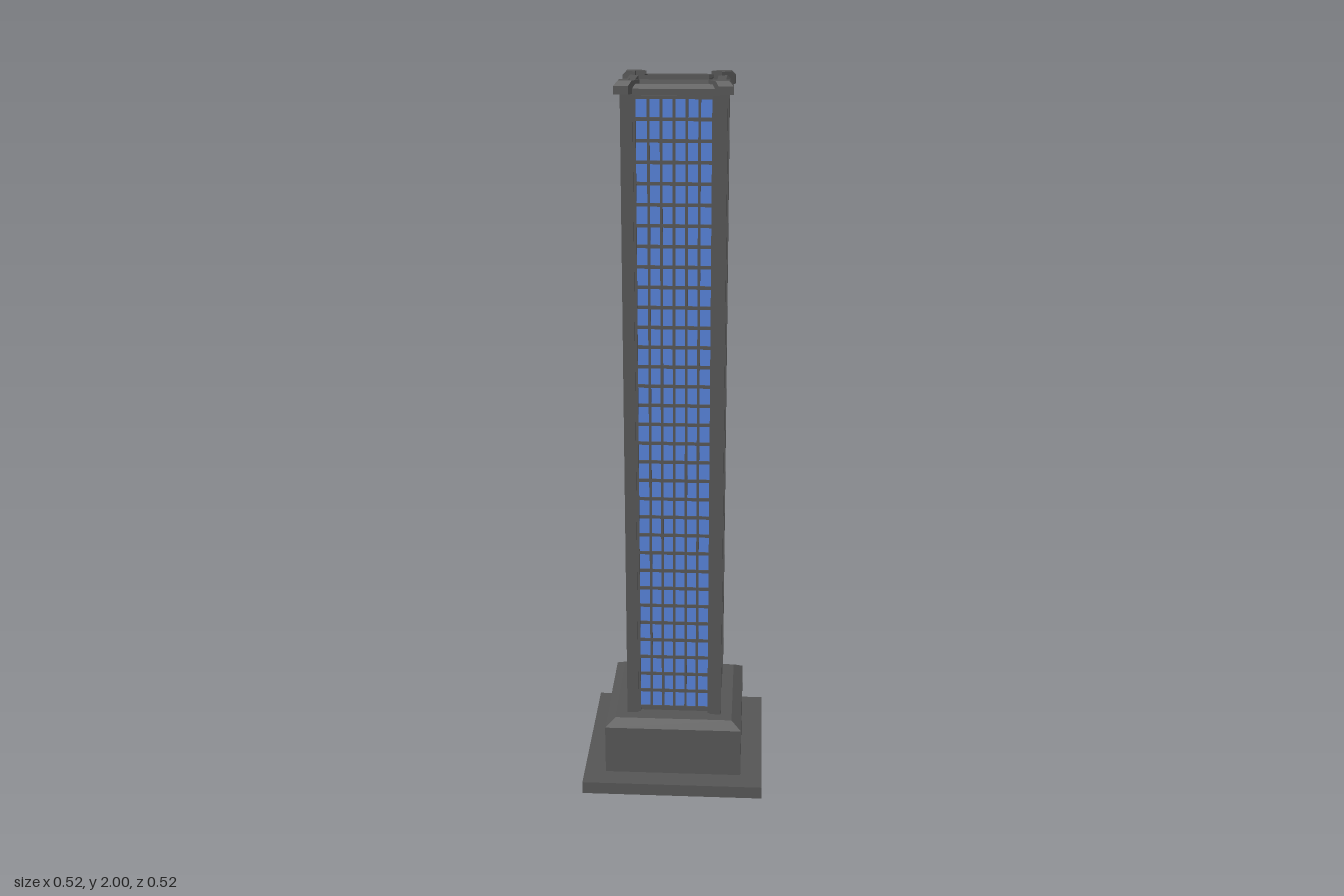
import * as THREE from 'three';

const stone = new THREE.MeshStandardMaterial({ color: 0x555555 });
stone.name = 'dark grey stone';
const glass = new THREE.MeshStandardMaterial({ color: 0x557fd4 });
glass.name = 'blue glass';

function add(parent, name, geometry, material, x = 0, y = 0, z = 0) {
  const mesh = new THREE.Mesh(geometry, material);
  mesh.name = name;
  mesh.position.set(x, y, z);
  parent.add(mesh);
  return mesh;
}

// Box given by its lower and upper limits
function block(parent, name, material, x0, x1, y0, y1, z0, z1) {
  return add(parent, name, new THREE.BoxGeometry(x1 - x0, y1 - y0, z1 - z0), material,
    (x0 + x1) / 2, (y0 + y1) / 2, (z0 + z1) / 2);
}

// Closed solid through stacked [x, z] outlines, each at its own height
function loft(levels) {
  const pos = [];
  const n = levels[0].points.length;
  const flat = levels[0].points.map(([x, z]) => new THREE.Vector2(x, -z));
  const clockwise = THREE.ShapeUtils.isClockWise(flat);
  const order = [...Array(n).keys()];
  if (clockwise) order.reverse();
  const put = (level, i) => pos.push(level.points[i][0], level.y, level.points[i][1]);
  for (let k = 0; k + 1 < levels.length; k++) {
    const a = levels[k], b = levels[k + 1];
    for (let j = 0; j < n; j++) {
      const p = order[j], q = order[(j + 1) % n];
      put(a, p); put(a, q); put(b, q);
      put(a, p); put(b, q); put(b, p);
    }
  }
  const cap = (level, up) => {
    const contour = order.map(i => new THREE.Vector2(level.points[i][0], -level.points[i][1]));
    for (const t of THREE.ShapeUtils.triangulateShape(contour, [])) {
      (up ? t : [t[0], t[2], t[1]]).forEach(i => put(level, order[i]));
    }
  };
  cap(levels[0], false);
  cap(levels[levels.length - 1], true);
  const geometry = new THREE.BufferGeometry();
  geometry.setAttribute('position', new THREE.Float32BufferAttribute(pos, 3));
  geometry.computeVertexNormals();
  return geometry;
}

const square = r => [[-r, r], [r, r], [r, -r], [-r, -r]];

// One curtain wall facing +z
function makeFacade() {
  const wall = new THREE.Group();
  wall.name = 'facade';
  const half = 0.098, bottom = 0.213, top = 1.958, rows = 32, columns = 6;
  block(wall, 'glazing', glass, -half, half, bottom, top, 0.118, 0.122);
  for (let i = 0; i <= rows; i++) {
    const y = bottom + (top - bottom) * i / rows;
    block(wall, 'transom', stone, -half, half, y - 0.0045, y + 0.0045, 0.12, 0.125);
  }
  for (let i = 1; i < columns; i++) {
    const x = -half + 2 * half * i / columns;
    block(wall, 'mullion', stone, x - 0.0035, x + 0.0035, bottom, top, 0.12, 0.125);
  }
  return wall;
}

// Parapet along one side, sloping outward at its face
function makeParapet() {
  const outline = r => [[-0.115, r], [0.115, r], [0.08, 0.106], [-0.08, 0.106]];
  return loft([
    { y: 1.965, points: outline(0.139) },
    { y: 1.98, points: outline(0.139) },
    { y: 1.991, points: outline(0.129) },
  ]);
}

// Angled cap over one corner pier, with bevelled outer edges
function makeCornerCap() {
  const outline = (r, e) => [[r, r], [e, r], [0.087, 0.115], [0.115, 0.115], [0.115, 0.087], [r, e]];
  return loft([
    { y: 1.967, points: outline(0.151, 0.113) },
    { y: 1.988, points: outline(0.151, 0.113) },
    { y: 2.0, points: outline(0.14, 0.105) },
  ]);
}

// Corner pier with a thinner step beside each facade
function makePier() {
  const pier = new THREE.Group();
  pier.name = 'cornerPier';
  block(pier, 'pier', stone, 0.104, 0.136, 0.19, 1.97, 0.104, 0.136);
  block(pier, 'pierStep', stone, 0.097, 0.106, 0.19, 1.97, 0.104, 0.13);
  block(pier, 'pierStep', stone, 0.104, 0.13, 0.19, 1.97, 0.097, 0.106);
  return pier;
}

export function createModel() {
  const tower = new THREE.Group();
  tower.name = 'tower';

  // Base slab and bevelled podium
  block(tower, 'baseSlab', stone, -0.258, 0.258, 0, 0.036, -0.258, 0.258);
  add(tower, 'podium', loft([
    { y: 0.036, points: square(0.196) },
    { y: 0.181, points: square(0.196) },
    { y: 0.2, points: square(0.168) },
  ]), stone);

  // Core and roof deck
  block(tower, 'core', stone, -0.119, 0.119, 0.19, 1.978, -0.119, 0.119);

  // Four matching sides and corners
  for (let i = 0; i < 4; i++) {
    const side = new THREE.Group();
    side.name = 'side' + (i + 1);
    side.rotation.y = i * Math.PI / 2;
    side.add(makeFacade(), makePier());
    add(side, 'parapet', makeParapet(), stone);
    add(side, 'cornerCap', makeCornerCap(), stone);
    tower.add(side);
  }
  return tower;
}
